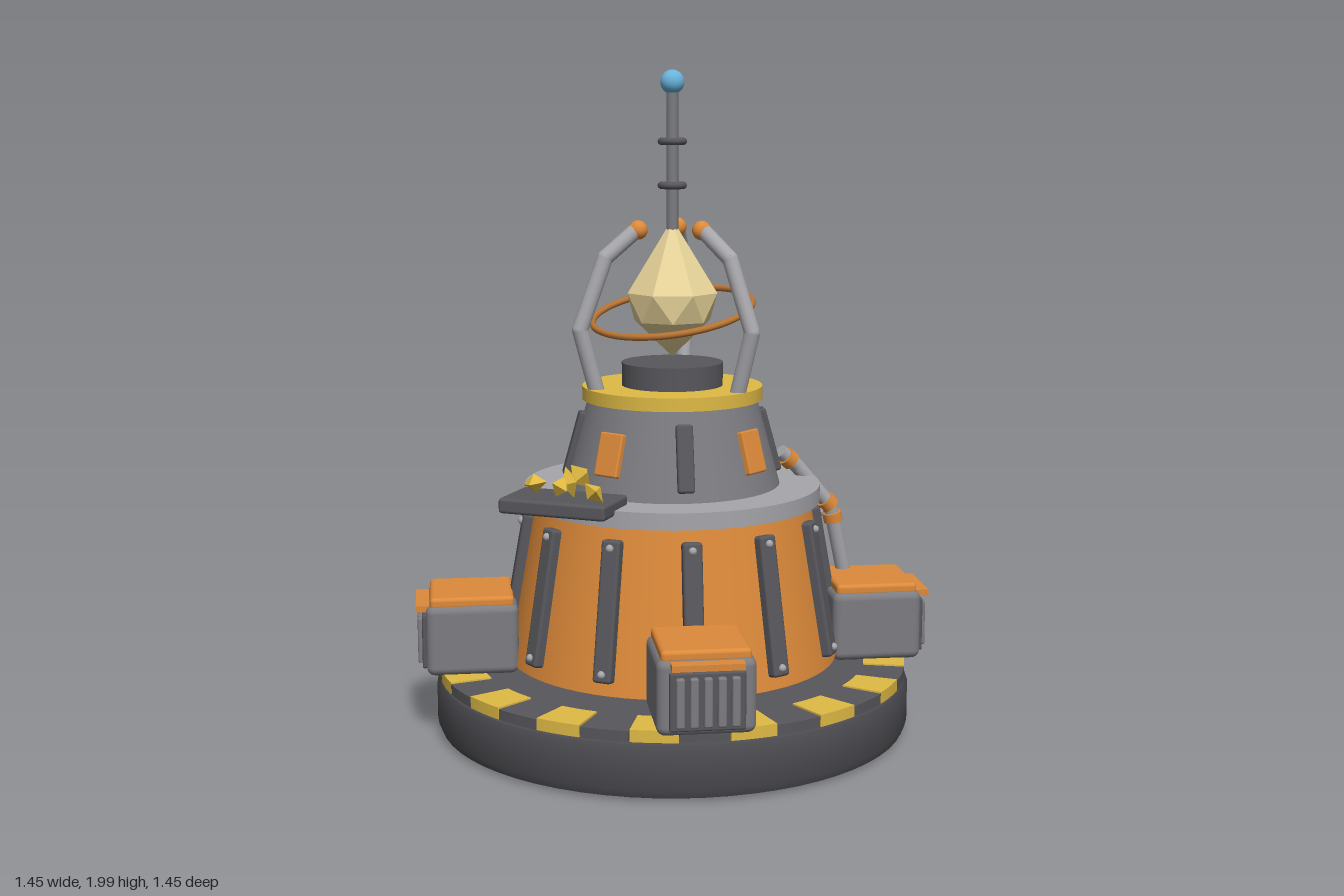
import * as THREE from 'three';
import { toCreasedNormals } from 'three/addons/utils/BufferGeometryUtils.js';
import { RoundedBoxGeometry } from 'three/addons/geometries/RoundedBoxGeometry.js';
import { ConvexGeometry } from 'three/addons/geometries/ConvexGeometry.js';

const mat = (color, flatShading = false) => new THREE.MeshStandardMaterial({ color, flatShading });
const DARK = mat(0x4b4b50), IRON = mat(0x57575c), STEEL = mat(0x7c7c81), LIGHT = mat(0xa6a6ab);
const ORANGE = mat(0xdd8a3a), COPPER = mat(0xb87432), YELLOW = mat(0xdfba45), BLUE = mat(0x68b4dc);
const CRYSTAL = mat(0xe8d49a, true), GOLD = mat(0xdfb840, true);
const V = (x, y, z) => new THREE.Vector3(x, y, z);

function add(parent, name, geometry, material, x = 0, y = 0, z = 0) {
  const mesh = new THREE.Mesh(geometry, material);
  mesh.name = name;
  mesh.position.set(x, y, z);
  parent.add(mesh);
  return mesh;
}

// Upright drum or cone between two heights
function drum(parent, name, rBottom, rTop, y0, y1, material) {
  return add(parent, name, new THREE.CylinderGeometry(rTop, rBottom, y1 - y0, 64), material, 0, (y0 + y1) / 2);
}

// Group whose local +z points outward at an angle around the axis
function spoke(parent, name, angle) {
  const group = new THREE.Group();
  group.name = name;
  group.rotation.y = angle;
  parent.add(group);
  return group;
}

// Straight round rod from a to b
function rod(parent, name, a, b, r, material) {
  const mesh = add(parent, name, new THREE.CylinderGeometry(r, r, a.distanceTo(b), 16), material);
  mesh.position.lerpVectors(a, b, 0.5);
  mesh.quaternion.setFromUnitVectors(V(0, 1, 0), b.clone().sub(a).normalize());
  return mesh;
}

function jointedRod(parent, name, points, r, material) {
  for (let i = 0; i < points.length - 1; i++) {
    rod(parent, name, points[i], points[i + 1], r, material);
    if (i) add(parent, name + 'Joint', new THREE.SphereGeometry(r, 16, 12), material, ...points[i].toArray());
  }
}

function ringTile(r0, r1, width, height) {
  const shape = new THREE.Shape();
  shape.absarc(0, 0, r1, -width / 2, width / 2, false);
  shape.absarc(0, 0, r0, width / 2, -width / 2, true);
  const geo = new THREE.ExtrudeGeometry(shape, { depth: height, bevelEnabled: false, curveSegments: 3 });
  return geo.rotateX(-Math.PI / 2);
}

function buildBase(root) {
  const profile = [[0, 0.01], [0.69, 0.01], [0.715, 0.02], [0.725, 0.045], [0.725, 0.15], [0.715, 0.172], [0.69, 0.182], [0, 0.182]];
  const geo = new THREE.LatheGeometry(profile.map(p => new THREE.Vector2(...p)), 64);
  add(root, 'base', toCreasedNormals(geo, 0.7), DARK);
  drum(root, 'baseDeck', 0.6, 0.6, 0.17, 0.2, IRON);
  // Alternating warning tiles around the rim
  for (let i = 0; i < 32; i++) {
    const yellow = i % 2 === 1;
    const geo = ringTile(0.59, 0.715, yellow ? 0.19 : 0.196, yellow ? 0.035 : 0.031);
    add(root, 'rimTile', geo, yellow ? YELLOW : IRON, 0, 0.178).rotation.y = i * Math.PI / 16;
  }
}

function buildBody(root) {
  drum(root, 'lowerBody', 0.505, 0.42, 0.23, 0.715, ORANGE);
  drum(root, 'collar', 0.45, 0.45, 0.71, 0.76, LIGHT);
  drum(root, 'upperBody', 0.327, 0.255, 0.76, 1.025, STEEL);
  drum(root, 'topPlate', 0.273, 0.273, 1.02, 1.06, YELLOW);
  drum(root, 'crystalSocket', 0.153, 0.153, 1.06, 1.13, IRON);
  // Ribs with bolts on the lower body
  for (let i = 0; i < 12; i++) {
    const s = spoke(root, 'rib', (i + 0.5) * Math.PI / 6);
    const rib = add(s, 'ribBar', new RoundedBoxGeometry(0.058, 0.41, 0.05, 2, 0.01), IRON, 0, 0.47, 0.467);
    rib.rotation.x = -0.175;
    for (const y of [-0.18, 0.18])
      add(rib, 'bolt', new THREE.SphereGeometry(0.012, 10, 8), LIGHT, 0, y, 0.025);
  }
  // Windows and fins on the upper body
  for (let i = 0; i < 8; i++) {
    const s = spoke(root, i % 2 ? 'fin' : 'window', i * Math.PI / 4);
    const geo = i % 2 ? new RoundedBoxGeometry(0.05, 0.2, 0.035, 2, 0.008) : new RoundedBoxGeometry(0.085, 0.13, 0.03, 2, 0.006);
    add(s, i % 2 ? 'finBar' : 'windowPanel', geo, i % 2 ? IRON : ORANGE, 0, 0.885, 0.293).rotation.x = -0.27;
  }
}

// Corner crates with lid and slatted vent
function buildCrates(root) {
  for (let i = 0; i < 4; i++) {
    const s = spoke(root, 'crate', (i + 0.5) * Math.PI / 2);
    add(s, 'crateBody', new RoundedBoxGeometry(0.275, 0.215, 0.275, 3, 0.025), STEEL, 0, 0.317, 0.617);
    add(s, 'crateLid', new RoundedBoxGeometry(0.25, 0.035, 0.25, 2, 0.012), ORANGE, 0, 0.43, 0.617);
    add(s, 'ventPanel', new RoundedBoxGeometry(0.21, 0.165, 0.02, 2, 0.006), IRON, 0, 0.31, 0.757);
    add(s, 'ventHood', new THREE.BoxGeometry(0.2, 0.018, 0.04), ORANGE, 0, 0.41, 0.765);
    for (let k = -2; k <= 2; k++)
      add(s, 'ventSlat', new RoundedBoxGeometry(0.024, 0.14, 0.02, 2, 0.006), STEEL, k * 0.038, 0.31, 0.77);
  }
}

// Crystal, its orbit ring, the claws and the mast
function buildCrown(root) {
  const points = [V(0, 1.145, 0), V(0, 1.56, 0)];
  for (let i = 0; i < 7; i++) {
    const a = i * Math.PI * 2 / 7, b = a + Math.PI / 7;
    points.push(V(0.118 * Math.cos(a), 1.255, 0.118 * Math.sin(a)));
    points.push(V(0.138 * Math.cos(b), 1.34, 0.138 * Math.sin(b)));
  }
  add(root, 'crystal', new ConvexGeometry(points), CRYSTAL);

  const ring = add(root, 'orbitRing', new THREE.TorusGeometry(0.243, 0.01, 10, 64), COPPER, 0, 1.282);
  ring.rotation.x = Math.PI / 2 + 0.22;

  for (let i = 0; i < 3; i++) {
    const s = spoke(root, 'claw', Math.PI / 2 + i * Math.PI * 2 / 3);
    jointedRod(s, 'clawArm', [V(0, 1.05, 0.243), V(0, 1.24, 0.295), V(0, 1.45, 0.215), V(0, 1.53, 0.115)], 0.024, LIGHT);
    add(s, 'clawTip', new THREE.SphereGeometry(0.029, 18, 14), ORANGE, 0, 1.53, 0.11);
  }

  rod(root, 'mast', V(0, 1.5, 0), V(0, 1.95, 0), 0.018, STEEL);
  for (const y of [1.66, 1.79])
    add(root, 'mastRing', new THREE.TorusGeometry(0.033, 0.011, 10, 28), IRON, 0, y).rotation.x = Math.PI / 2;
  add(root, 'beacon', new THREE.SphereGeometry(0.036, 24, 16), BLUE, 0, 1.964);
}

// Feed pipe running from the collar down to the back crate
function buildPipe(root) {
  const path = [V(0.22, 0.84, -0.26), V(0.245, 0.79, -0.315), V(0.31, 0.655, -0.41), V(0.33, 0.42, -0.465)];
  jointedRod(root, 'feedPipe', path, 0.023, LIGHT);
  const collar = (a, b, t) => {
    const c = a.clone().lerp(b, t), d = b.clone().sub(a).setLength(0.015);
    rod(root, 'pipeCollar', c.clone().sub(d), c.clone().add(d), 0.03, ORANGE);
  };
  collar(path[0], path[1], 0.5);
  collar(path[1], path[2], 0.92);
  collar(path[2], path[3], 0.15);
}

// Side shelf holding ore chunks
function buildShelf(root) {
  const shelf = add(root, 'shelf', new RoundedBoxGeometry(0.33, 0.045, 0.18, 2, 0.01), IRON, -0.035, 0.765, 0.467);
  shelf.rotation.y = 0.3;
  // x, y, z, radius, stretch, lean
  const chunks = [
    [-0.135, 0.815, 0.475, 0.04, 0.7, 0.5], [-0.03, 0.82, 0.48, 0.035, 1, -0.4], [0, 0.845, 0.43, 0.036, 1.2, 0.5],
    [-0.015, 0.83, 0.46, 0.032, 1.5, 0.2], [0.09, 0.815, 0.478, 0.038, 0.7, -0.5],
  ];
  for (const [x, y, z, r, stretch, lean] of chunks) {
    const chunk = add(root, 'oreChunk', new THREE.OctahedronGeometry(r), GOLD, x, y, z);
    chunk.scale.set(1, stretch, 0.95);
    chunk.rotation.set(lean, x * 9, lean);
  }
}

export function createModel() {
  const root = new THREE.Group();
  root.name = 'crystalTower';
  buildBase(root);
  buildBody(root);
  buildCrates(root);
  buildCrown(root);
  buildPipe(root);
  buildShelf(root);
  return root;
}
